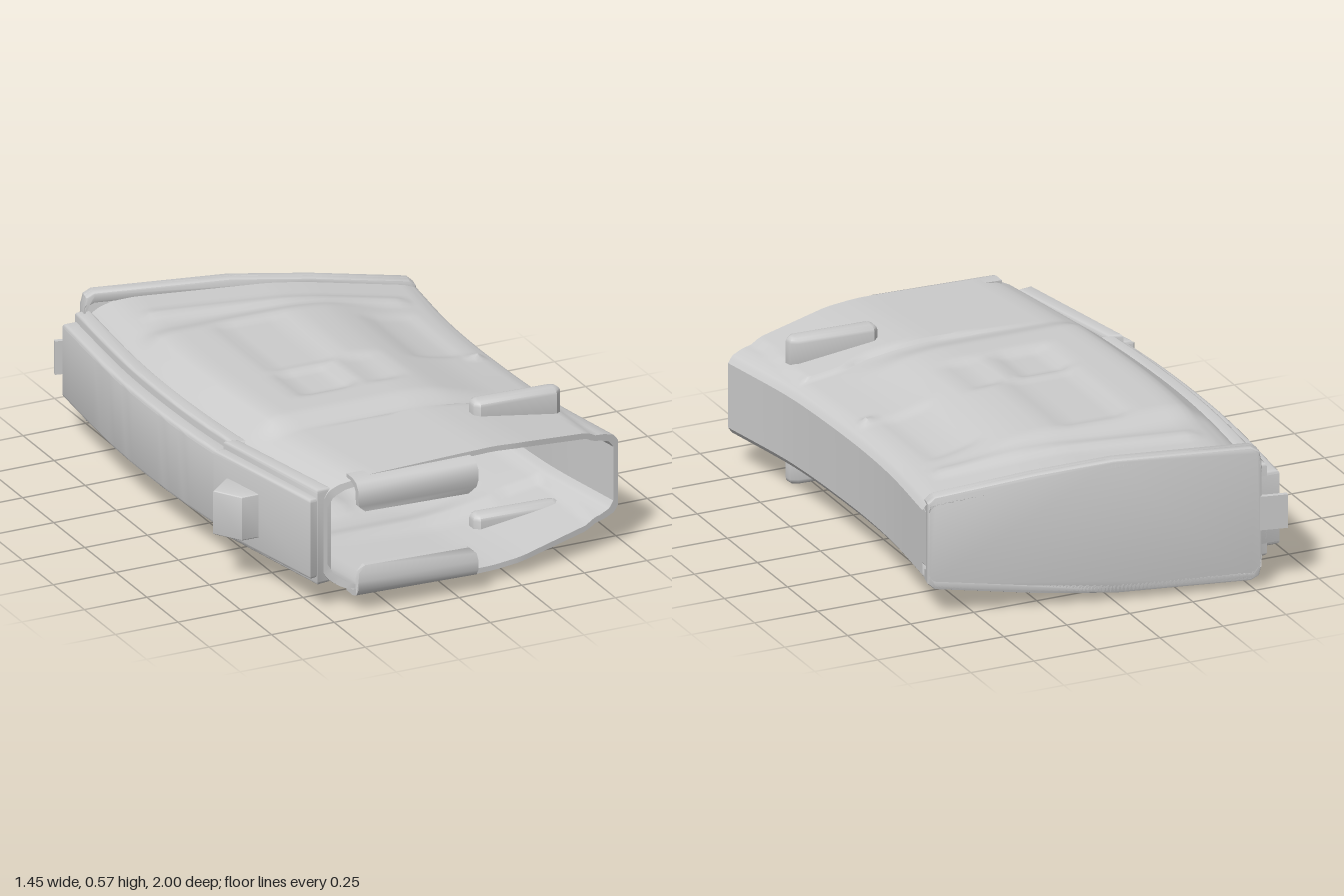
import * as THREE from 'three';
import { toCreasedNormals } from 'three/addons/utils/BufferGeometryUtils.js';

const V = (x, z) => new THREE.Vector3(x, 0, z);
const ss = THREE.MathUtils.smoothstep;
const lerp = THREE.MathUtils.lerp;

// piecewise linear lookup in [[position, value], ...]
function table(pts, x) {
  for (let i = 1; i < pts.length; i++) {
    if (x <= pts[i][0]) {
      const [a, b] = [pts[i - 1], pts[i]];
      return lerp(a[1], b[1], Math.max(0, (x - a[0]) / (b[0] - a[0])));
    }
  }
  return pts[pts.length - 1][1];
}

// soft-edged box mask, 1 inside and 0 outside
const box = (x, z, x0, x1, z0, z1, e = 0.03) =>
  ss(x, x0 - e, x0 + e) * (1 - ss(x, x1 - e, x1 + e)) * ss(z, z0 - e, z0 + e) * (1 - ss(z, z1 - e, z1 + e));

// curved side edges of the body, rear to front
const leftEdge = new THREE.CatmullRomCurve3([V(-0.55, -0.93), V(-0.59, -0.5), V(-0.6, -0.2), V(-0.59, 0.1), V(-0.57, 0.35), V(-0.55, 0.5), V(-0.49, 0.88)]);
const rightEdge = new THREE.CatmullRomCurve3([V(0.68, -0.7), V(0.645, -0.38), V(0.635, -0.14), V(0.638, 0.1), V(0.65, 0.35), V(0.665, 0.5), V(0.72, 0.83)]);

const halfHeight = [[0, 0.13], [0.02, 0.17], [0.05, 0.197], [0.1, 0.22], [0.15, 0.228], [0.55, 0.228], [0.65, 0.218], [0.95, 0.165], [0.985, 0.15], [1, 0.125]];
const frontReach = [[0, 0], [0.03, 0.005], [0.1, 0.05], [0.5, 0.07], [0.64, 0.07], [1, 0]];

// pressed relief on the broad sides
function relief(t, x, z) {
  const panel = ss(z, -0.6, -0.47) * (1 - ss(z, 0.34, 0.47));
  let h = 0.026 * panel * ss(t, 0.04, 0.12) * (1 - ss(t, 0.6, 0.85));
  h -= 0.014 * box(x, z, -0.24, 0.02, -0.48, -0.02);
  h -= 0.02 * box(x, z, -0.24, -0.04, 0.0, 0.22);
  h -= 0.014 * box(x, z, 0.03, 0.15, -0.02, 0.22);
  h -= 0.01 * box(x, z, 0.32, 0.5, -0.4, 0.0);
  const zr = z - 0.2 * x;
  h += 0.012 * box(x, zr, -0.4, 0.54, -0.66, -0.6, 0.025);
  h += 0.018 * box(x, z, 0.53, 0.57, 0.01, 0.05, 0.02);
  const step = 0.465 + 0.03 * ss(x, -0.5, 0.3) - 0.03 * ss(x, 0.35, 0.45);
  h += 0.014 * ss(z, step - 0.012, step) * ss(x, -0.45, 0.2) * (1 - ss(x, 0.585, 0.61));
  return h;
}

// hollow tube: outer skin rear to front, then inner skin back to the rear
function bodyGeometry() {
  const ts = [];
  for (let i = 0; i <= 48; i++) ts.push(0.5 - 0.5 * Math.cos((Math.PI * i) / 48));
  const ring = [...ts.map(t => [t, 1]), ...ts.slice().reverse().map(t => [t, -1])];
  const rows = [];
  for (let i = 0; i <= 90; i++) rows.push([i / 90, 0]);
  for (let i = 30; i >= 0; i--) rows.push([i / 30, 1]);
  const pos = [], idx = [], n = ring.length;
  for (const [v, inner] of rows) {
    const a = leftEdge.getPoint(v), b = rightEdge.getPoint(v);
    for (const [t, s] of ring) {
      const u = inner ? lerp(0.018, 0.982, t) : t;
      const x = lerp(a.x, b.x, u);
      const z = lerp(a.z, b.z, u) + table(frontReach, u) * ss(v, 0.8, 1);
      const h = table(halfHeight, t) + relief(t, x, z) - inner * 0.02;
      pos.push(x, s * h, z);
    }
  }
  for (let r = 0; r < rows.length - 1; r++) {
    for (let i = 0; i < n; i++) {
      const j = (i + 1) % n, p = r * n, q = p + n;
      idx.push(p + i, q + i, p + j, p + j, q + i, q + j);
    }
  }
  const g = new THREE.BufferGeometry();
  g.setAttribute('position', new THREE.Float32BufferAttribute(pos, 3));
  g.setIndex(idx);
  return toCreasedNormals(g, 0.6);
}

const shapeOf = pts => new THREE.Shape(pts.map(p => new THREE.Vector2(p[0], p[1])));

// plan outline [x, z] raised between two heights, with rounded rims
function slab(pts, y0, y1, bevel) {
  const g = new THREE.ExtrudeGeometry(shapeOf(pts), {
    depth: y1 - y0 - 2 * bevel, bevelEnabled: true, bevelSize: bevel, bevelOffset: -bevel, bevelThickness: bevel, bevelSegments: 3,
  });
  g.rotateX(Math.PI / 2).translate(0, y1 - bevel, 0);
  return toCreasedNormals(g, 0.7);
}

export function createModel() {
  const root = new THREE.Group();
  const model = new THREE.Group();
  model.name = 'curvedBoxHousing';
  model.position.y = 0.285;
  root.add(model);
  const mat = new THREE.MeshStandardMaterial({ color: 0xcccccc, side: THREE.DoubleSide });
  const add = (name, geo, parent = model) => {
    const m = new THREE.Mesh(geo, mat);
    m.name = name;
    parent.add(m);
    return m;
  };

  add('body', bodyGeometry());

  // spine strips along the curved back edge
  const spine = new THREE.CatmullRomCurve3([V(-0.615, -0.955), V(-0.655, -0.5), V(-0.663, -0.2), V(-0.655, 0.1), V(-0.635, 0.36)]).getPoints(24);
  const strip = (from, to) => [...spine.map(p => [p.x + from, p.z]), ...spine.slice().reverse().map(p => [p.x + to, p.z])];
  add('spineOuter', slab(strip(0, 0.075), -0.145, 0.145, 0.014));
  add('spineInner', slab(strip(0.05, 0.11), -0.18, 0.18, 0.012));

  // reinforcing plate and catch at the front of the spine
  add('catchPlate', slab([[-0.65, 0.33], [-0.58, 0.33], [-0.5, 0.88], [-0.54, 0.89]], -0.155, 0.155, 0.012));
  add('catchPlateFlange', slab([[-0.61, 0.33], [-0.555, 0.34], [-0.45, 0.875], [-0.51, 0.885]], -0.185, 0.185, 0.012));
  add('catch', slab([[-0.73, 0.49], [-0.64, 0.41], [-0.58, 0.42], [-0.57, 0.59], [-0.665, 0.59]], -0.095, 0.075, 0.004));

  // stop ribs on both broad sides
  const rib = [[0.265, 0.565], [0.56, 0.58], [0.585, 0.595], [0.59, 0.625], [0.565, 0.65], [0.265, 0.64], [0.245, 0.62], [0.245, 0.585]];
  add('upperStopRib', slab(rib, 0.16, 0.285, 0.022));
  add('lowerStopRib', slab(rib, -0.285, -0.16, 0.022));

  // curled feed lips, chamfered at the free edge
  const curl = [[0.9, 0.228], [0.95, 0.228], [0.978, 0.218], [0.994, 0.195], [0.996, 0.16], [0.99, 0.13], [0.982, 0.105],
    [0.96, 0.105], [0.966, 0.13], [0.972, 0.16], [0.972, 0.185], [0.962, 0.2], [0.945, 0.208], [0.9, 0.208]];
  const lip = new THREE.ExtrudeGeometry(shapeOf(curl), { depth: 0.47, bevelEnabled: false });
  lip.rotateY(-Math.PI / 2).translate(0.08, 0, 0);
  const lp = lip.attributes.position;
  for (let i = 0; i < lp.count; i++) {
    const x = lp.getX(i), y = lp.getY(i);
    const cut = 0.035 * (1 - ss(y, 0.1, 0.14));
    lp.setX(i, x + (x < -0.15 ? cut : -cut));
    // the lip tilts slightly along its length
    lp.setZ(i, lp.getZ(i) + 0.045 * (x - 0.08));
  }
  const lipGeo = toCreasedNormals(lip, 0.7);
  add('upperFeedLip', lipGeo);
  add('lowerFeedLip', lipGeo).scale.y = -1;

  // slanted floor plate with folded rims and a locking tab
  const floor = new THREE.Group();
  floor.name = 'floorPlate';
  floor.position.z = -0.87;
  floor.rotation.y = -0.208;
  model.add(floor);
  const half = [[-0.545, 0.2], [-0.535, 0.24], [-0.505, 0.257], [0.0, 0.257], [0.3, 0.228], [0.66, 0.178], [0.685, 0.155]];
  const outline = k => [...half.map(p => [p[0], -(p[1] - k)]), ...half.slice().reverse().map(p => [p[0], p[1] - k])];
  const extrude = (pts, depth) => new THREE.ExtrudeGeometry(shapeOf(pts), {
    depth, bevelEnabled: true, bevelSize: 0.008, bevelOffset: -0.008, bevelThickness: 0.008, bevelSegments: 2,
  }).translate(0, 0, 0.008);
  add('floorSheet', toCreasedNormals(extrude(outline(0), 0.024), 0.7), floor);
  for (const s of [1, -1]) {
    const rim = half.map(p => [p[0], s * p[1]]);
    const inner = half.slice().reverse().map(p => [p[0], s * (p[1] - 0.04)]);
    add(s > 0 ? 'upperFloorRim' : 'lowerFloorRim', toCreasedNormals(extrude([...rim, ...inner], 0.045), 0.7), floor);
  }
  add('lockingTab', new THREE.BoxGeometry(0.14, 0.13, 0.018).translate(-0.57, 0, 0.009), floor);
  return root;
}
